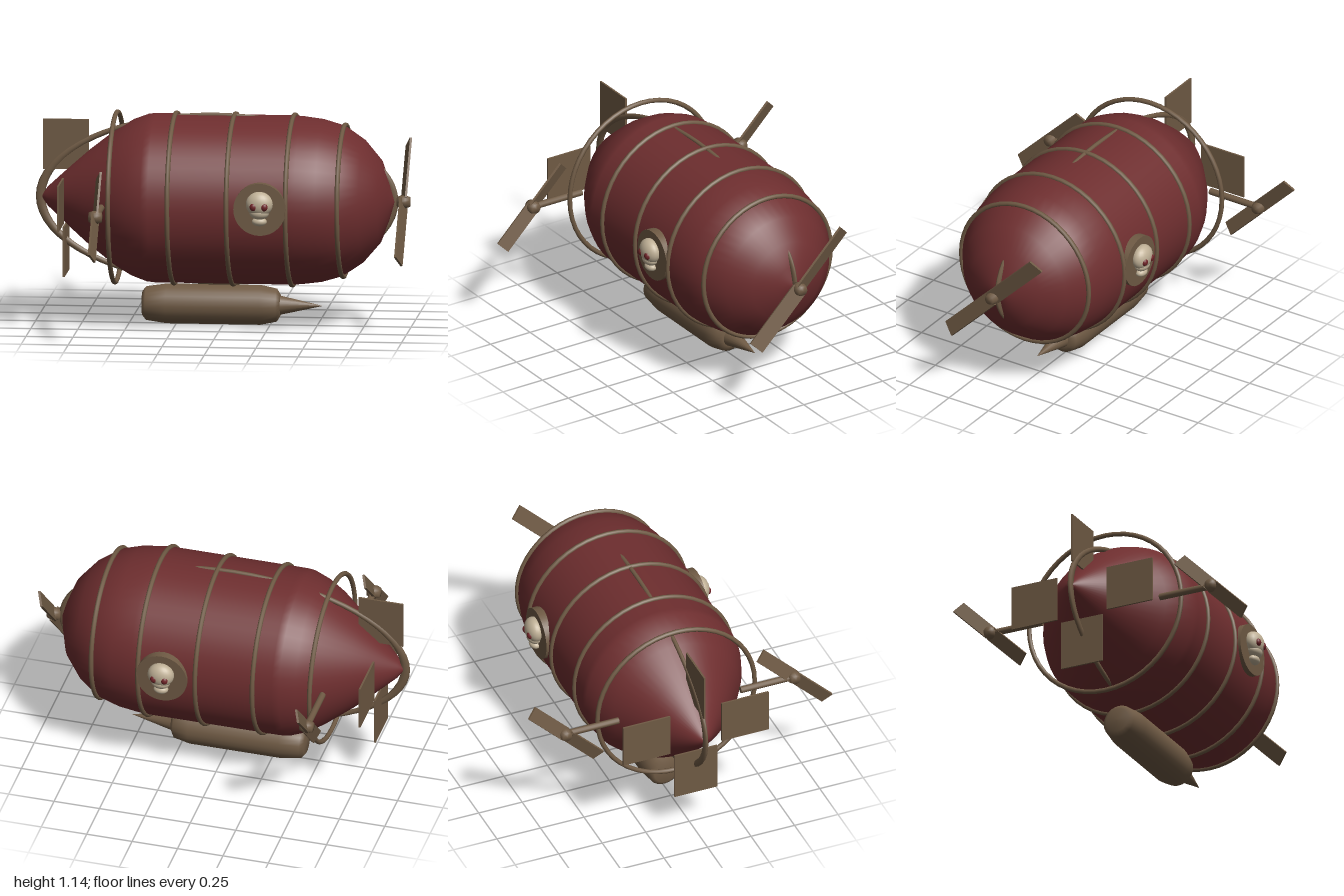
import * as THREE from 'three';

const mat = (name, color, extra = {}) => {
  const m = new THREE.MeshStandardMaterial({ color, ...extra });
  m.name = name;
  return m;
};

export function createModel() {
  const model = new THREE.Group();
  model.name = 'airship';
  const red = mat('hull red', 0x6e2e2f);
  const brown = mat('bronze brown', 0x6f5a44);
  const cream = mat('bone cream', 0xbfb096);
  const eyeRed = mat('eye red', 0x702428);
  const axisY = 0.675;

  const add = (parent, name, geometry, material, x = 0, y = 0, z = 0) => {
    const mesh = new THREE.Mesh(geometry, material);
    mesh.name = name;
    mesh.position.set(x, y, z);
    parent.add(mesh);
    return mesh;
  };
  // Solid of revolution lying along x, from [x, radius] pairs
  const latheX = (points, sides) =>
    new THREE.LatheGeometry(points.map(([x, r]) => new THREE.Vector2(r, x)), sides).rotateZ(-Math.PI / 2);

  // Gas envelope: pointed tail, long barrel, rounded nose
  add(model, 'hull', latheX([
    [-0.97, 0], [-0.935, 0.05], [-0.805, 0.17], [-0.72, 0.245], [-0.57, 0.362], [-0.48, 0.415],
    [-0.4, 0.445], [-0.36, 0.449], [0.36, 0.449], [0.42, 0.446], [0.53, 0.432], [0.64, 0.4],
    [0.75, 0.325], [0.84, 0.22], [0.885, 0.1], [0.915, 0],
  ], 48), red, 0, axisY, 0);

  // Hoops around the hull
  for (const [x, r] of [[-0.57, 0.452], [-0.255, 0.452], [0.06, 0.452], [0.375, 0.452], [0.645, 0.403]]) {
    add(model, 'hoop', new THREE.TorusGeometry(r, 0.013, 8, 48).rotateY(Math.PI / 2), brown, x, axisY, 0);
  }
  // Lengthwise hoop stretched from nose to tail
  const keel = add(model, 'keelHoop', new THREE.TorusGeometry(0.45, 0.012, 8, 64), brown, -0.033, axisY, 0);
  keel.scale.x = 2.09;

  // Tail fins: one fore-and-aft, three set crosswise
  add(model, 'topFin', new THREE.BoxGeometry(0.245, 0.27, 0.01), brown, -0.838, 0.955, 0);
  add(model, 'bottomFin', new THREE.BoxGeometry(0.01, 0.27, 0.245), brown, -0.838, 0.395, 0);
  for (const s of [-1, 1]) {
    add(model, 'sideFin', new THREE.BoxGeometry(0.01, 0.245, 0.27), brown, -0.838, axisY, s * 0.283);
  }

  // Two-bladed propeller turning about x
  const propeller = (name, x, z, length, width) => {
    const prop = new THREE.Group();
    prop.name = name;
    prop.position.set(x, axisY, z);
    prop.rotation.x = -Math.PI / 4;
    add(prop, 'hub', latheX([[-0.037, 0], [-0.035, 0.026], [-0.012, 0.035], [0.012, 0.035], [0.035, 0.026], [0.037, 0]], 16), brown);
    for (const s of [-1, 1]) {
      const blade = add(prop, 'blade', new THREE.BoxGeometry(0.012, length / 2, width), brown, 0, s * length / 4, 0);
      blade.rotation.y = s * 0.35;
    }
    model.add(prop);
  };
  propeller('nosePropeller', 0.96, 0, 0.78, 0.085);
  for (const s of [-1, 1]) {
    propeller('sidePropeller', -0.615, s * 0.657, 0.54, 0.075);
    add(model, 'strut', new THREE.CylinderGeometry(0.018, 0.018, 0.3, 12).rotateX(Math.PI / 2), brown, -0.615, axisY, s * 0.5);
  }

  // Gondola under the hull with a nose spike
  add(model, 'gondola', latheX([
    [-0.432, 0], [-0.43, 0.065], [-0.41, 0.09], [-0.3, 0.106], [0.2, 0.106],
    [0.285, 0.088], [0.305, 0.055], [0.305, 0],
  ], 24), brown, 0, 0.108, 0);
  add(model, 'gondolaSpike', new THREE.ConeGeometry(0.052, 0.23, 20).rotateZ(-Math.PI / 2), brown, 0.415, 0.108, 0);

  // Skull medallion on each flank
  const ball = new THREE.SphereGeometry(1, 24, 16);
  for (const s of [-1, 1]) {
    const emblem = new THREE.Group();
    emblem.name = 'medallion';
    emblem.position.set(0.24, 0.697, s * 0.46);
    if (s < 0) emblem.rotation.y = Math.PI;
    add(emblem, 'disc', new THREE.CylinderGeometry(0.14, 0.14, 0.06, 32).rotateX(Math.PI / 2), brown, 0, 0, -0.027);
    const blob = (name, material, x, y, z, rx, ry, rz) =>
      add(emblem, name, ball, material, x, y, z).scale.set(rx, ry, rz);
    blob('cranium', cream, 0, 0.032, 0.015, 0.072, 0.067, 0.05);
    blob('face', cream, 0, -0.015, 0.015, 0.052, 0.035, 0.04);
    blob('jaw', cream, 0, -0.062, 0.012, 0.04, 0.024, 0.03);
    for (const e of [-1, 1]) blob('eye', eyeRed, e * 0.029, 0.022, 0.052, 0.019, 0.021, 0.016);
    model.add(emblem);
  }
  return model;
}
